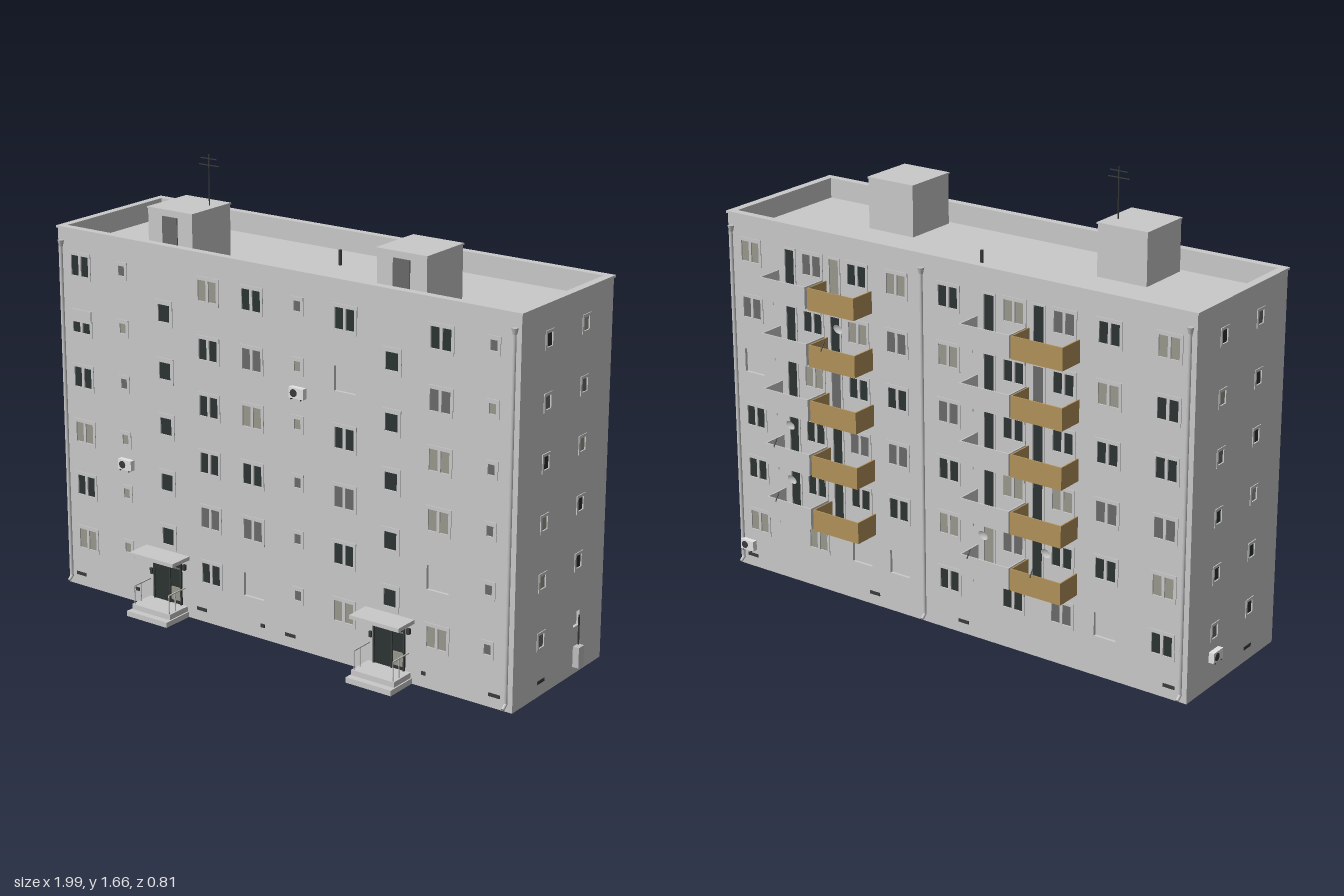
import * as THREE from 'three';

const W = 0.97, D = 0.285, DECK = 1.29, TOP = 1.365;
const ROWS = [1.23, 1.02, 0.815, 0.605, 0.4, 0.19];

export function createModel() {
  const mat = (name, color) => new THREE.MeshStandardMaterial({ name, color, side: THREE.DoubleSide });
  const concrete = mat('concrete', 0xcacaca);
  const darkGlass = mat('dark glass', 0x2b3432);
  const greyGlass = mat('grey glass', 0x6a6a6a);
  const paleGlass = mat('pale glass', 0x99998e);
  const ochre = mat('ochre panel', 0xb3925a);
  const metal = mat('pale metal', 0xc0c0c0);
  const darkMetal = mat('dark metal', 0x3a3c3c);
  const white = mat('white enamel', 0xe4e4e4);
  const glass = { D: darkGlass, M: greyGlass, B: paleGlass, W: concrete };

  const model = new THREE.Group();
  model.name = 'apartmentBlock';
  const add = (parent, name, geo, material, x = 0, y = 0, z = 0) => {
    const m = new THREE.Mesh(geo, material);
    m.name = name;
    m.position.set(x, y, z);
    parent.add(m);
    return m;
  };
  const box = (parent, name, material, w, h, d, x, y, z) =>
    add(parent, name, new THREE.BoxGeometry(w, h, d), material, x, y, z);
  const rod = (parent, name, material, r, h, x, y, z, sides = 8) =>
    add(parent, name, new THREE.CylinderGeometry(r, r, h, sides), material, x, y, z);
  const rect = (Type, x, y, w, h) => new Type([
    new THREE.Vector2(x - w / 2, y - h / 2), new THREE.Vector2(x + w / 2, y - h / 2),
    new THREE.Vector2(x + w / 2, y + h / 2), new THREE.Vector2(x - w / 2, y + h / 2)]);
  const ring = (w, h, holes, depth) => {
    const s = rect(THREE.Shape, 0, 0, w, h);
    holes.forEach(p => s.holes.push(rect(THREE.Path, ...p)));
    return new THREE.ExtrudeGeometry(s, { depth, bevelEnabled: false });
  };

  // Window types: outer size and glazed openings
  const types = {
    big: { w: 0.1, h: 0.1, panes: [[-0.0225, 0, 0.034, 0.074], [0.0225, 0, 0.034, 0.074]] },
    small: { w: 0.05, h: 0.064, panes: [[0, 0, 0.026, 0.036]] },
    stair: { w: 0.076, h: 0.095, panes: [[0, 0, 0.05, 0.062]] },
    side: { w: 0.052, h: 0.066, panes: [[0, 0, 0.033, 0.046]] },
    balconyDoor: { w: 0.056, h: 0.165, panes: [[0, 0, 0.04, 0.15]] },
  };
  for (const t of Object.values(types)) {
    t.frame = ring(t.w, t.h, t.panes, 0.007);
    t.pane = new THREE.PlaneGeometry(t.w - 0.006, t.h - 0.006);
    t.reveal = ring(t.w, t.h, [[0, 0, t.w - 0.012, t.h - 0.012]], 0.012);
  }

  // A wall in its own plane, pierced by the openings listed as [type, x, y, colour]
  function wall(name, width, angle, openings, doors = []) {
    const g = new THREE.Group();
    g.name = name;
    const dist = width > 1 ? D : W;
    g.rotation.y = angle;
    g.position.set(Math.sin(angle) * dist, 0, Math.cos(angle) * dist);
    model.add(g);
    const s = rect(THREE.Shape, 0, DECK / 2, width, DECK);
    for (const [type, x, y, c] of openings) {
      const t = types[type];
      s.holes.push(rect(THREE.Path, x, y, t.w - 0.008, t.h - 0.008));
      const blind = c === 'W';
      add(g, blind ? 'blindReveal' : 'windowFrame', blind ? t.reveal : t.frame, concrete,
        x, y, blind ? -0.0125 : -0.004);
      add(g, blind ? 'blindPanel' : 'windowGlass', t.pane, glass[c], x, y, blind ? -0.0115 : -0.002);
    }
    doors.forEach(x => s.holes.push(rect(THREE.Path, x, 0.125, 0.126, 0.166)));
    add(g, 'wall', new THREE.ShapeGeometry(s), concrete);
    return g;
  }
  const column = (type, x, codes, dy = 0, rows = ROWS) =>
    [...codes].map((c, i) => [type, x, rows[i] + dy, c]);

  // Front wall
  const stairRows = [1.12, 0.91, 0.705, 0.495, 0.29];
  const doorX = [-0.49, 0.48];
  const front = wall('frontWall', 2 * W, 0, [
    ...column('big', -0.87, 'DDDBDB'), ...column('big', -0.29, 'BDDDMD'),
    ...column('big', -0.1, 'DMBDMW'), ...column('big', 0.29, 'DWDMDB'),
    ...column('big', 0.67, 'DMBBWB'),
    ...column('small', -0.675, 'MBMBBB', 0.013), ...column('small', 0.095, 'MBBMMM', 0.013),
    ...column('small', 0.87, 'MBMMMM', 0.013),
    ...column('stair', -0.485, 'DDDDD', 0, stairRows), ...column('stair', 0.48, 'DDDDD', 0, stairRows),
  ], doorX);
  // Half-lowered shutter
  box(front, 'shutter', concrete, 0.09, 0.045, 0.004, -0.87, 1.045, 0.003);

  // Back wall (its x runs opposite to the model's)
  const backCols = [
    ...column('big', -0.87, 'BMWDDB'), ...column('big', -0.22, 'BMDMDW'),
    ...column('big', 0, 'DBMDBD'), ...column('big', 0.645, 'DBDMDW'),
    ...column('big', 0.87, 'BDDMBD'),
  ];
  [-0.69, -0.49, 0.17, 0.37].forEach((x, i) => {
    const order = ['DDDDD', 'BDMDD', 'DDDDB', 'DMDDD'][i];
    backCols.push(...column('balconyDoor', x, order, -0.035));
    backCols.push(...column('big', x + 0.1, ['MDBDDB', 'DBDMDW', 'BDDBMD', 'MDDBDM'][i]));
  });
  const back = wall('backWall', 2 * W, Math.PI, backCols);

  // End walls
  wall('leftWall', 2 * D, Math.PI / 2,
    [...column('side', -0.115, 'DMDBBM', 0.01), ...column('side', 0.115, 'BMBDDW', 0.01)]);
  wall('rightWall', 2 * D, -Math.PI / 2,
    [...column('side', -0.115, 'DBMDDM', 0.01), ...column('side', 0.115, 'MDDBDD', 0.01)]);

  // Roof deck, parapet and coping
  const flat = (name, geo, y) => { add(model, name, geo, concrete, 0, y, 0).rotation.x = -Math.PI / 2; };
  flat('roofDeck', new THREE.PlaneGeometry(2 * W, 2 * D), DECK);
  const inner = [[0, 0, 1.89, 0.52]];
  flat('parapet', ring(2 * W, 2 * D, inner, TOP - DECK - 0.008), DECK);
  flat('coping', ring(2 * W + 0.01, 2 * D + 0.01, inner, 0.008), TOP - 0.008);

  // Stair heads, aerial and vent on the roof
  for (const x of [-0.485, 0.485]) {
    box(model, 'stairHead', concrete, 0.196, 0.185, 0.21, x, DECK + 0.0925, 0.137);
    box(model, 'stairHeadCap', concrete, 0.202, 0.006, 0.216, x, 1.477, 0.137);
    box(model, 'stairHeadDoor', greyGlass, 0.066, 0.165, 0.006, x, DECK + 0.083, 0.243);
  }
  rod(model, 'aerialMast', darkMetal, 0.0025, 0.37, -0.42, 1.475, 0.105, 6);
  [[1.645, 0.07], [1.622, 0.085]].forEach(([y, l]) =>
    box(model, 'aerialBar', darkMetal, l, 0.003, 0.003, -0.42, y, 0.105));
  rod(model, 'roofVent', darkMetal, 0.006, 0.055, 0, DECK + 0.027, -0.09);

  // Downpipes with hoppers and shoes
  for (const [x, z] of [[-0.95, 1], [0.95, 1], [-0.95, -1], [0.95, -1], [0.105, -1]]) {
    const zz = z * (D + 0.009);
    rod(model, 'downpipe', metal, 0.0055, 1.27, x, 0.665, zz);
    add(model, 'hopper', new THREE.CylinderGeometry(0.012, 0.007, 0.022, 8), metal, x, 1.305, zz);
    rod(model, 'pipeShoe', metal, 0.006, 0.025, x, 0.026, zz + z * 0.008).rotation.x = -z * 0.9;
  }

  // Entrances: stepped landing, canopy, glazed door and handrails
  for (const x of doorX) {
    const g = new THREE.Group();
    g.name = 'entrance';
    g.position.set(x, 0, D);
    model.add(g);
    box(g, 'lowerStep', concrete, 0.185, 0.02, 0.125, 0, 0.01, 0.0625);
    box(g, 'landing', concrete, 0.175, 0.02, 0.1, 0, 0.03, 0.05);
    box(g, 'canopy', concrete, 0.2, 0.014, 0.095, 0, 0.228, 0.0475);
    box(g, 'doorLeaf', darkGlass, 0.13, 0.17, 0.006, 0, 0.125, 0);
    [-0.062, 0.012, 0.062].forEach(dx => box(g, 'doorBar', darkMetal, 0.006, 0.17, 0.01, dx, 0.125, 0.003));
    box(g, 'doorTransom', greyGlass, 0.12, 0.004, 0.01, 0, 0.178, 0.003);
    box(g, 'noticeBoard', paleGlass, 0.04, 0.05, 0.004, 0.04, 0.08, 0.006);
    box(g, 'intercom', darkMetal, 0.01, 0.022, 0.008, -0.077, 0.14, 0.003);
    box(g, 'porchLamp', darkMetal, 0.012, 0.02, 0.012, 0.08, 0.19, 0.006);
    for (const dx of [-0.08, 0.08]) {
      box(g, 'handrail', metal, 0.004, 0.004, 0.09, dx, 0.11, 0.05);
      [0.06, 0.095].forEach(dz => box(g, 'railPost', metal, 0.003, 0.07, 0.003, dx, 0.075, dz));
    }
  }

  // Balconies: slab with three thin parapet panels
  for (let i = 0; i < 5; i++) {
    const y = 1.147 - i * 0.2075;
    [[-0.43, ochre], [-0.22, concrete], [0.4275, ochre], [0.6425, concrete]].forEach(([x, m]) => {
      const g = new THREE.Group();
      g.name = 'balcony';
      g.position.set(x, y, -D);
      model.add(g);
      box(g, 'balconySlab', concrete, 0.2, 0.01, 0.096, 0, -0.035, -0.048);
      box(g, 'balconyFront', m, 0.204, 0.08, 0.005, 0, 0, -0.0985);
      [-1, 1].forEach(s => box(g, 'balconySide', m, 0.005, 0.08, 0.096, s * 0.0995, 0, -0.048));
      rod(g, 'balconyDrain', metal, 0.002, 0.02, 0.06, -0.05, -0.08, 6);
    });
  }

  // Satellite dishes on the balcony fronts
  for (const [x, y] of [[0.46, 0.99], [0.69, 0.37], [-0.16, 0.37], [-0.42, 0.37], [0.69, 0.58]]) {
    const dish = add(model, 'satelliteDish', new THREE.SphereGeometry(0.05, 12, 3, 0, Math.PI * 2, 0, 0.4),
      white, x, y + 0.025, -0.352);
    dish.rotation.x = Math.PI / 2 - 0.3;
    rod(model, 'dishArm', darkMetal, 0.002, 0.035, x, y, -0.393, 6).rotation.x = 0.6;
  }

  // Air conditioners: case, fan and brackets
  for (const [x, y, z, a] of [[-0.665, 0.53, D, 0], [0.105, 0.945, D, 0], [0.92, 0.09, -D, Math.PI],
    [-W, 0.12, -0.125, -Math.PI / 2]]) {
    const g = new THREE.Group();
    g.name = 'airConditioner';
    g.position.set(x, y, z);
    g.rotation.y = a;
    model.add(g);
    box(g, 'acCase', white, 0.06, 0.038, 0.02, 0, 0, 0.014);
    rod(g, 'acFan', darkMetal, 0.014, 0.003, -0.01, 0, 0.0245, 12).rotation.x = Math.PI / 2;
    [-0.02, 0.02].forEach(dx => box(g, 'acBracket', darkMetal, 0.003, 0.004, 0.026, dx, -0.021, 0.013));
  }

  // Meter cabinet with conduit on the left end
  box(model, 'meterCabinet', metal, 0.024, 0.075, 0.034, W + 0.012, 0.066, -0.115);
  rod(model, 'conduit', darkMetal, 0.003, 0.11, W + 0.005, 0.157, -0.125, 6);

  // Cellar vents along the foot of the walls
  for (const x of [-0.91, -0.335, 0.06, 0.9])
    [front, back].forEach(g => box(g, 'cellarVent', darkMetal, 0.045, 0.012, 0.004, x, 0.046, 0.001));
  for (const x of [-0.635, -0.06, 0.62])
    box(front, 'cellarTap', darkMetal, 0.016, 0.012, 0.006, x, 0.052, 0.002);
  for (const s of [-1, 1])
    box(model, 'cellarVent', darkMetal, 0.004, 0.012, 0.045, s * W, 0.052, 0.11);

  return model;
}
